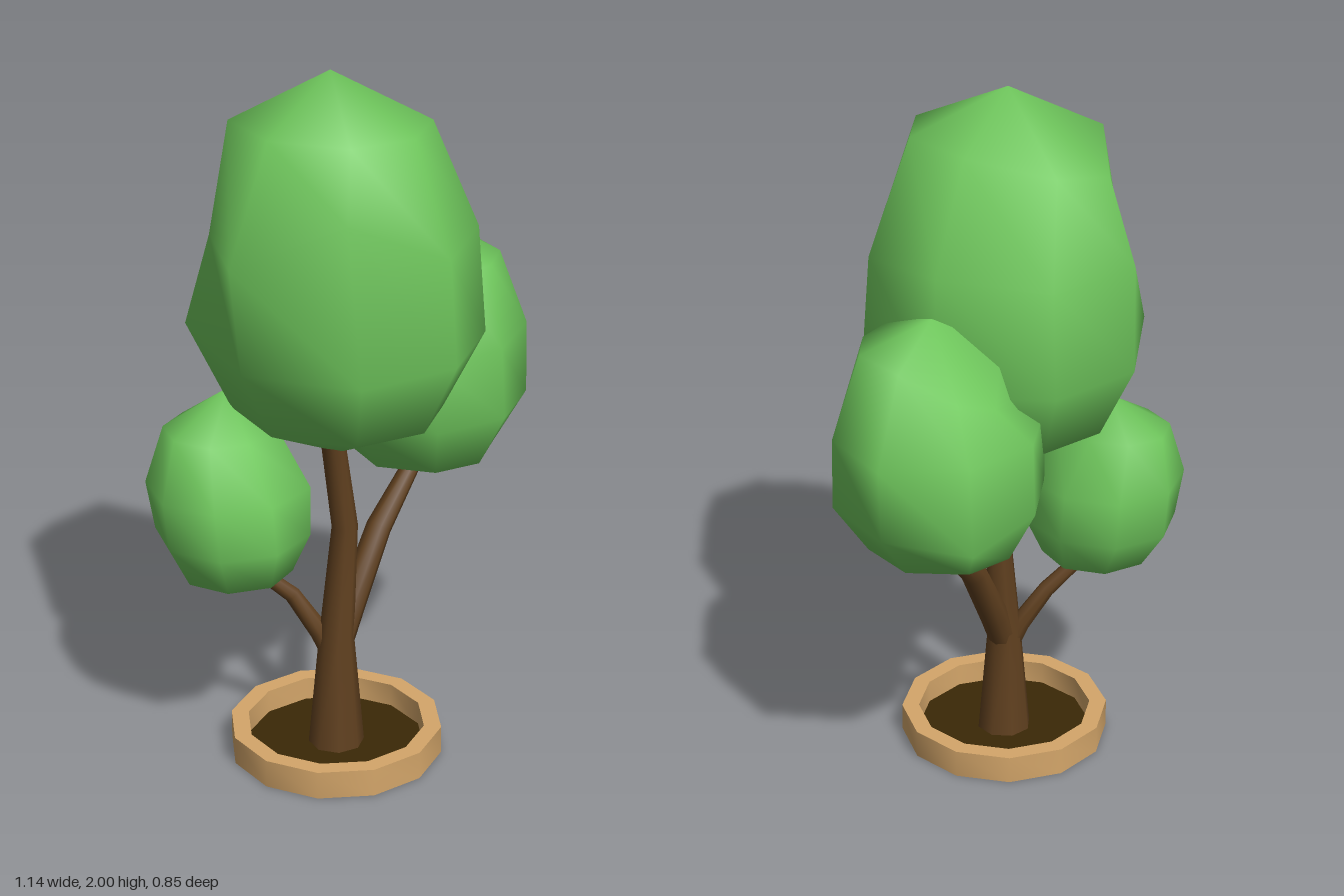
import * as THREE from 'three';
import { mergeVertices, toCreasedNormals } from 'three/addons/utils/BufferGeometryUtils.js';

const SIDES = 8;

// Weld the seam and poles so the surface shades smoothly
function smooth(geo) {
  geo.deleteAttribute('uv');
  geo.deleteAttribute('normal');
  const welded = mergeVertices(geo, 1e-4);
  welded.computeVertexNormals();
  return welded;
}

// Signed power, used to pinch or square the cross-sections
const bend = (v, p) => Math.sign(v) * Math.abs(v) ** p;

// Closed crown; each ring is [y, centre x, centre z, radius x, radius z, lumps], top to bottom.
// Lumps map a corner number (0 at -x, 2 at +z, 4 at +x, 6 at -z) to [stretch, lift].
function crownGeometry(rings, turn = 0, px = 1, pz = 1) {
  const geo = new THREE.SphereGeometry(1, SIDES, rings.length - 1);
  const pos = geo.attributes.position;
  for (let i = 0; i < pos.count; i++) {
    const [y, cx, cz, rx, rz, lumps = {}] = rings[Math.floor(i / (SIDES + 1))];
    const k = (i % (SIDES + 1)) % SIDES;
    const a = (k / SIDES) * Math.PI * 2 + turn;
    const [s, lift] = lumps[k] ?? [1, 0];
    pos.setXYZ(i, cx - rx * s * bend(Math.cos(a), px), y + lift, cz + rz * s * bend(Math.sin(a), pz));
  }
  return smooth(geo);
}

// Tapered, kinked limb through points [x, y, z, radius], listed top to bottom
function limbGeometry(points) {
  const geo = new THREE.CylinderGeometry(1, 1, 1, SIDES, points.length - 1, true);
  const pos = geo.attributes.position;
  const centres = points.map(([x, y, z]) => new THREE.Vector3(x, y, z));
  const up = new THREE.Vector3(0, 1, 0);
  const turns = centres.map((c, i) => {
    const above = centres[Math.max(i - 1, 0)];
    const below = centres[Math.min(i + 1, centres.length - 1)];
    return new THREE.Quaternion().setFromUnitVectors(up, above.clone().sub(below).normalize());
  });
  const v = new THREE.Vector3();
  for (let i = 0; i < pos.count; i++) {
    const row = Math.floor(i / (SIDES + 1));
    v.set(pos.getX(i), 0, pos.getZ(i)).multiplyScalar(points[row][3]);
    v.applyQuaternion(turns[row]).add(centres[row]);
    pos.setXYZ(i, v.x, v.y, v.z);
  }
  return smooth(geo);
}

export function createModel() {
  const group = new THREE.Group();
  const material = (name, color) => {
    const m = new THREE.MeshStandardMaterial({ color });
    m.name = name;
    return m;
  };
  const leaf = material('leaf green', 0x70c85d);
  const bark = material('bark brown', 0x60401f);
  const wood = material('planter tan', 0xd4a66a);
  const earth = material('soil brown', 0x3a2806);

  const add = (name, geo, mat) => {
    const mesh = new THREE.Mesh(geo, mat);
    mesh.name = name;
    group.add(mesh);
    return mesh;
  };

  // Planter ring, open in the middle
  const profile = [[0.305, 0], [0.305, 0.082], [0.255, 0.082], [0.255, 0], [0.305, 0]]
    .map(([r, y]) => new THREE.Vector2(r, y));
  const rim = toCreasedNormals(new THREE.LatheGeometry(profile, 12), 0.7);
  add('planterRing', rim, wood).position.set(-0.155, 0, 0.022);

  // Thin soil disc filling the bottom of the ring
  add('soil', new THREE.CylinderGeometry(0.257, 0.257, 0.012, 12), earth)
    .position.set(-0.155, 0.008, 0.022);

  // Trunk and branches
  add('trunk', limbGeometry([
    [-0.17, 1.0, 0.022, 0.033], [-0.112, 0.68, 0.022, 0.037],
    [-0.15, 0.35, 0.022, 0.05], [-0.153, 0.012, 0.022, 0.08],
  ]), bark);
  add('leftBranch', limbGeometry([
    [0.25, 0.82, 0.022, 0.022], [0.04, 0.62, 0.022, 0.037],
    [-0.09, 0.415, 0.022, 0.042], [-0.15, 0.3, 0.022, 0.04],
  ]), bark);
  add('rightBranch', limbGeometry([
    [-0.325, 0.6, -0.195, 0.018], [-0.215, 0.47, -0.085, 0.024],
    [-0.175, 0.36, -0.02, 0.029], [-0.15, 0.28, 0.01, 0.03],
  ]), bark);

  // Leaf crowns
  add('mainCrown', crownGeometry([
    [2.0, -0.165, 0.022, 0, 0],
    [1.87, -0.175, 0.03, 0.25, 0.28, { 5: [1.24, -0.03], 6: [1.1, -0.08] }],
    [1.56, -0.153, 0.022, 0.418, 0.39, { 1: [0.9, 0.13], 3: [0.96, 0], 4: [0.96, 0.03], 7: [0.82, 0] }],
    [1.26, -0.135, 0.02, 0.395, 0.402, { 1: [1.04, 0], 7: [1.03, 0.04] }],
    [1.05, -0.14, 0.02, 0.275, 0.3],
    [0.91, -0.13, 0.02, 0, 0],
  ], 0, 1.12, 0.88), leaf);
  add('leftCrown', crownGeometry([
    [1.49, 0.27, 0.022, 0, 0],
    [1.395, 0.265, 0.03, 0.175, 0.205, { 1: [1.28, 0], 5: [0.92, -0.09], 6: [0.95, -0.13] }],
    [1.17, 0.235, 0.02, 0.335, 0.28],
    [0.965, 0.24, 0.02, 0.32, 0.29, { 5: [0.98, -0.05] }],
    [0.81, 0.23, 0.022, 0.2, 0.21],
    [0.74, 0.22, 0.02, 0, 0],
  ], 0, 1.25, 0.87), leaf);
  add('rightCrown', crownGeometry([
    [1.09, -0.305, -0.235, 0, 0],
    [0.98, -0.345, -0.245, 0.14, 0.15, { 3: [1.2, 0] }],
    [0.82, -0.345, -0.215, 0.21, 0.212, { 3: [1.13, 0], 7: [1.05, 0] }],
    [0.68, -0.34, -0.205, 0.205, 0.212, { 3: [1.08, 0] }],
    [0.57, -0.34, -0.185, 0.16, 0.16],
    [0.512, -0.31, -0.175, 0, 0],
  ], -0.19), leaf);

  return group;
}
